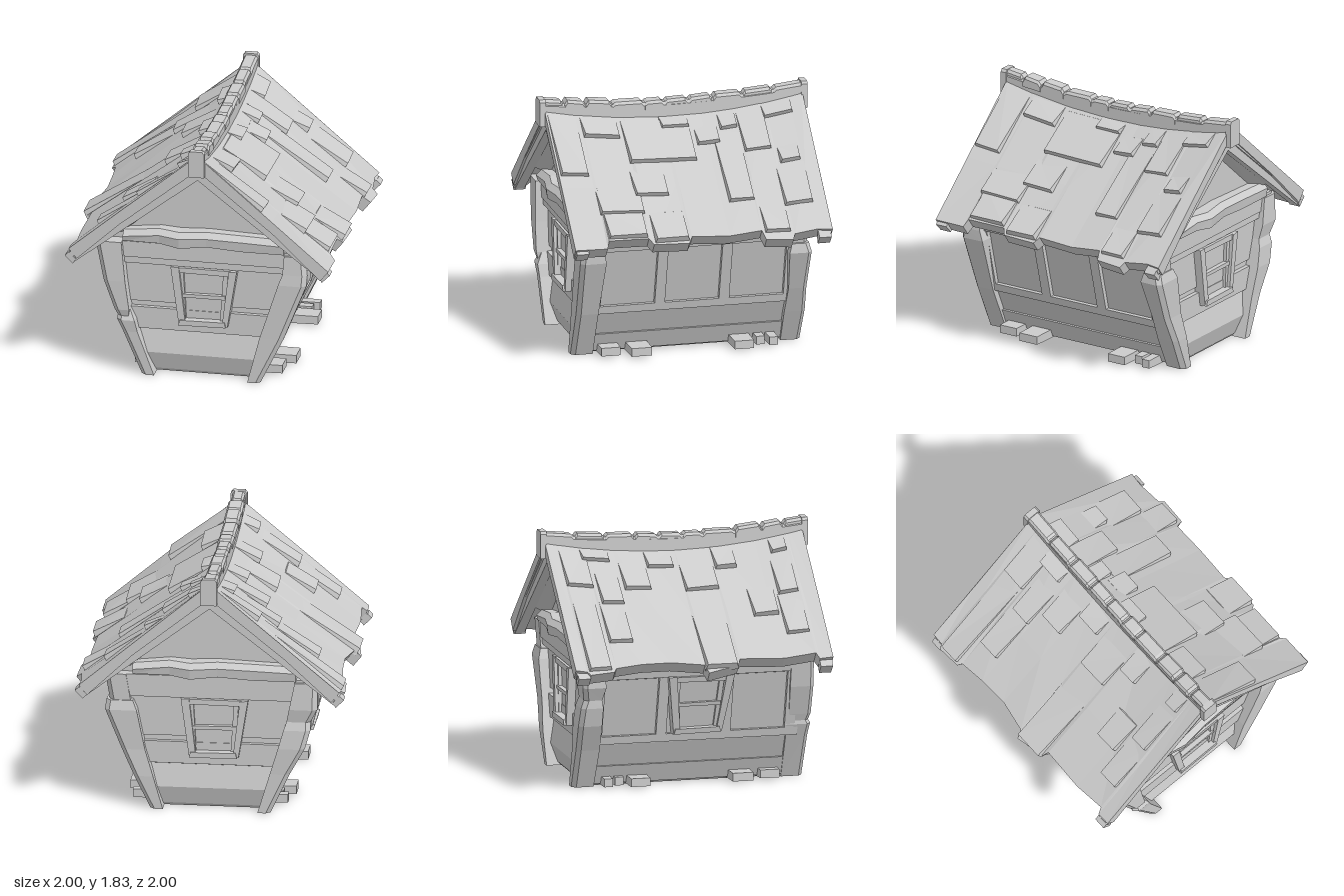
import * as THREE from 'three';

const material = new THREE.MeshStandardMaterial({ color: 0xcccccc, flatShading: true });

// Solid through a row of matching cross-sections, capped at both ends
function loft(sections) {
  const tris = [];
  const n = sections[0].length;
  for (let s = 0; s + 1 < sections.length; s++) {
    const a = sections[s], b = sections[s + 1];
    for (let i = 0; i < n; i++) {
      const j = (i + 1) % n;
      tris.push([a[i], a[j], b[j]], [a[i], b[j], b[i]]);
    }
  }
  const first = sections[0], last = sections[sections.length - 1];
  for (let i = 1; i + 1 < n; i++) {
    tris.push([first[0], first[i + 1], first[i]], [last[0], last[i], last[i + 1]]);
  }
  // turn the faces outward whatever the order of the sections
  let volume = 0;
  for (const [p, q, r] of tris) {
    volume += p[0] * (q[1] * r[2] - q[2] * r[1]) + p[1] * (q[2] * r[0] - q[0] * r[2]) + p[2] * (q[0] * r[1] - q[1] * r[0]);
  }
  if (volume < 0) tris.forEach((t) => t.reverse());
  const geometry = new THREE.BufferGeometry();
  geometry.setAttribute('position', new THREE.Float32BufferAttribute(tris.flat(2), 3));
  geometry.computeVertexNormals();
  return geometry;
}

let seed = 7;
const rand = () => (seed = (seed * 16807) % 2147483647) / 2147483647;
const jitter = (a) => (rand() - 0.5) * a;

// House proportions
const WALL_Z = 0.76;
const wallX = (y) => (y < 0.33 ? 0.4 + y * 0.45 : 0.55 + (y - 0.33) * 0.263);
const roofY = (x, z) => 1.785 - 0.855 * x - 0.115 * (1 - z * z) * (1 - x);
const ridgeY = (z) => 1.8 - 0.06 * (1 - z * z);

// Wall frames: u along the wall, y up, d outward
const walls = {
  front: (u, y, d) => [u, y, WALL_Z + d],
  back: (u, y, d) => [-u, y, -WALL_Z - d],
  right: (u, y, d) => [wallX(y) + d, y, -u],
  left: (u, y, d) => [-wallX(y) - d, y, u],
};

export function createModel() {
  const group = new THREE.Group();
  const add = (name, sections) => {
    const mesh = new THREE.Mesh(loft(sections), material);
    mesh.name = name;
    group.add(mesh);
  };
  // Four-cornered board on a wall; bevel lifts the front of its two lower corners
  const board = (name, wall, quad, d1, d0 = -0.03, bevel = 0) =>
    add(name, [[d0, 0], [d1, bevel]].map(([d, lift]) => quad.map(([u, y], i) => wall(u, i < 2 ? y + lift : y, d))));
  const rect = (u0, u1, y0, y1) => [[u0, y0], [u1, y0], [u1, y1], [u0, y1]];

  // Tapered body and gable
  add('body', [[0, 0.38, 0.74], [0.025, 0.41, 0.765], [0.16, 0.47, 0.81], [0.33, 0.55, 0.77], [0.9, 0.7, 0.76]].map(
    ([y, x, z]) => [[-x, y, -z], [x, y, -z], [x, y, z], [-x, y, z]]));
  add('gableWall', [-WALL_Z, WALL_Z].map((z) =>
    [[-0.7, 0.88, z], [0.7, 0.88, z], [0.72, 1.06, z], [0, 1.64, z], [-0.72, 1.06, z]]));

  // Window with slanted jambs, inner stiles, head, sill and crossbar
  function addWindow(wall) {
    board('windowPanel', wall, [[-0.16, 0.41], [0.18, 0.41], [0.22, 0.84], [-0.18, 0.84]], 0.035);
    board('windowJamb', wall, [[-0.16, 0.41], [-0.11, 0.41], [-0.16, 0.85], [-0.22, 0.85]], 0.085);
    board('windowJamb', wall, [[0.16, 0.42], [0.2, 0.41], [0.27, 0.85], [0.21, 0.84]], 0.085);
    board('windowStile', wall, [[-0.13, 0.43], [-0.11, 0.43], [-0.13, 0.82], [-0.16, 0.82]], 0.06);
    board('windowStile', wall, [[0.14, 0.43], [0.17, 0.43], [0.2, 0.82], [0.165, 0.82]], 0.06);
    board('windowHead', wall, [[-0.2, 0.795], [0.21, 0.79], [0.22, 0.845], [-0.2, 0.845]], 0.075, -0.03, 0.012);
    board('windowCrossbar', wall, [[-0.14, 0.6], [0.18, 0.6], [0.18, 0.645], [-0.14, 0.64]], 0.07, -0.03, 0.015);
    board('windowSill', wall, [[-0.16, 0.395], [0.19, 0.4], [0.18, 0.45], [-0.15, 0.445]], 0.1, -0.03, 0.01);
  }

  // Gable ends
  for (const wall of [walls.front, walls.back]) {
    const span = (y0, y1) => [[-wallX(y0), y0], [wallX(y0), y0], [wallX(y1), y1], [-wallX(y1), y1]];
    board('lowerPlank', wall, span(0.325, 0.505), 0.04, 0, 0.015);
    board('middlePlank', wall, [[-0.58, 0.535], [0.6, 0.54], [0.66, 0.84], [-0.66, 0.84]], 0.025, -0.03, 0.01);
    board('wallBeam', wall, span(0.83, 0.9), 0.06, 0, 0.02);
    board('wallBeam', wall, span(0.9, 1.02), 0.07);
    add('roughBeam', [
      [-0.57, 1.02, 1.11, 0.1], [-0.3, 1.02, 1.14, 0.105], [-0.15, 1.0, 1.13, 0.13],
      [0.05, 1.02, 1.14, 0.11], [0.3, 1.0, 1.13, 0.1], [0.62, 1.0, 1.12, 0.1],
    ].map(([u, y0, y1, d]) => [wall(u, y0, -0.02), wall(u, y0 + 0.015, d), wall(u, y1 - 0.04, d + 0.01), wall(u, y1, d - 0.03), wall(u, y1, -0.02)]));
    addWindow(wall);
    for (const s of [-1, 1]) {
      // Bevelled rafter inside the gable, then the barge boards
      add('gableRafter', [[0, 1.6, 1.565], [0.6, 1.13, 1.06]].map(([x, y0, y1]) =>
        [wall(s * x, y0 + 0.05, 0), wall(s * x, y0 + 0.05, 0.13), wall(s * x, y0, 0.13), wall(s * x, y1, 0)]));
      board('bargeBoard', wall, [[0, 1.7], [0, 1.58], [s * 0.92, 0.865], [s * 0.975, 0.925]], 0.18, 0.11);
      board('bargeTrim', wall, [[0, 1.73], [0, 1.66], [s * 0.93, 0.91], [s * 0.95, 0.945]], 0.195, 0.1);
      board('bargeEnd', wall, [[s * 0.9, 0.9], [s * 0.92, 0.86], [s * 0.98, 0.92], [s * 0.95, 0.95]], 0.19, 0.1);
    }
  }

  // Long sides: timber frame around three panels
  for (const wall of [walls.right, walls.left]) {
    board('sideRail', wall, rect(-0.78, 0.78, 0.325, 0.4), 0.035, -0.03, 0.015);
    board('sideRail', wall, rect(-0.78, 0.78, 0.825, 0.95), 0.045, -0.03, 0.02);
    for (const u of [-0.72, -0.24, 0.24, 0.72]) {
      board('sideStud', wall, rect(u - 0.038, u + 0.038, 0.39, 0.86), 0.035);
    }
    board('baseBoard', wall, rect(-0.75, 0.75, 0.02, 0.16), 0.02);
  }
  addWindow(walls.left);

  // Crooked corner posts: y, inner x, outer x, inner z, outer z
  const post = (name, sx, sz, rows) => add(name, rows.map(([y, x0, x1, z0, z1]) =>
    [[x0, z0], [x1, z0], [x1 + 0.004, z1 - 0.03], [x1 - 0.03, z1], [x0, z1]].map(([x, z]) => [sx * x, y, sz * z])));
  post('frontRightPost', 1, 1, [[0, 0.35, 0.44, 0.7, 0.86], [0.35, 0.44, 0.61, 0.7, 0.86], [0.78, 0.58, 0.78, 0.68, 0.87], [0.86, 0.61, 0.785, 0.7, 0.86], [1, 0.62, 0.77, 0.71, 0.85]]);
  post('backLeftPost', -1, -1, [[0, 0.34, 0.43, 0.7, 0.86], [0.3, 0.43, 0.57, 0.69, 0.86], [0.5, 0.49, 0.68, 0.7, 0.87], [0.64, 0.53, 0.72, 0.7, 0.86], [0.7, 0.55, 0.72, 0.71, 0.84], [0.8, 0.57, 0.77, 0.69, 0.86], [1, 0.61, 0.77, 0.71, 0.85]]);
  post('frontLeftLowerPost', -1, 1, [[0, 0.34, 0.43, 0.7, 0.86], [0.33, 0.46, 0.57, 0.7, 0.87], [0.42, 0.48, 0.61, 0.69, 0.88], [0.52, 0.53, 0.6, 0.71, 0.83]]);
  post('frontLeftUpperPost', -1, 1, [[0.43, 0.53, 0.6, 0.72, 0.86], [0.5, 0.52, 0.63, 0.71, 0.88], [0.72, 0.55, 0.71, 0.7, 0.88], [1.02, 0.58, 0.77, 0.7, 0.87]]);
  post('backRightLowerPost', 1, -1, [[0, 0.35, 0.44, 0.7, 0.85], [0.25, 0.42, 0.56, 0.7, 0.86], [0.45, 0.48, 0.65, 0.71, 0.85], [0.75, 0.54, 0.77, 0.69, 0.86], [0.82, 0.57, 0.76, 0.71, 0.84]]);
  post('backRightUpperPost', 1, -1, [[0.78, 0.58, 0.73, 0.72, 0.83], [1.02, 0.62, 0.77, 0.72, 0.84]]);

  // Foot planks along the base
  for (const s of [-1, 1]) {
    for (const [z0, z1, x] of [[0.52, 0.67, 0.57], [0.3, 0.46, 0.63], [-0.46, -0.31, 0.63], [-0.56, -0.49, 0.55], [-0.65, -0.58, 0.59]]) {
      const end = s > 0 ? x : x - 0.05;
      add('footPlank', [[0.36, 0], [end, 0.004]].map(([px, c]) =>
        [[s * px, 0.01 + c, z0 + c], [s * px, 0.01 + c, z1 - c], [s * px, 0.075, z1 - c], [s * px, 0.075, z0 + c]]));
    }
  }

  // Roof slopes: [z, eave reach] pairs give the ragged eaves
  const eaves = {
    1: [[-0.965, 0.95], [-0.86, 0.94], [-0.68, 0.96], [-0.66, 1], [-0.46, 0.99], [-0.44, 0.93], [-0.2, 0.94], [0.08, 0.93], [0.11, 0.97], [0.37, 0.96], [0.4, 0.92], [0.7, 0.93], [0.72, 0.97], [0.96, 0.97]],
    '-1': [[-0.965, 0.95], [-0.88, 0.95], [-0.86, 0.98], [-0.68, 0.97], [-0.66, 0.94], [-0.46, 0.92], [-0.24, 0.91], [0, 0.95], [0.02, 1], [0.25, 0.96], [0.27, 0.92], [0.6, 0.93], [0.84, 0.91], [0.86, 0.95], [0.96, 0.95]],
  };
  for (const s of [-1, 1]) {
    add('roofSlope', eaves[s].map(([z, xe]) => {
      const yMid = roofY(0.55, z) + jitter(0.02);
      const yEnd = roofY(xe, z) + jitter(0.02);
      return [[0, roofY(0, z), z], [s * 0.55, yMid, z], [s * xe, yEnd, z], [s * (xe - 0.06), yEnd - 0.075, z], [s * 0.55, roofY(0.55, z) - 0.09, z], [0, roofY(0, z) - 0.09, z]];
    }));
  }

  // Wedge shingles, lifted at the lower edge: upper x, lower x, z range
  const shingles = {
    1: [[0.05, 0.17, -0.87, -0.64], [0.35, 0.49, -0.85, -0.69], [0.46, 0.78, -0.87, -0.65], [0.05, 0.38, -0.66, -0.45], [0.05, 0.2, -0.45, -0.31], [0.2, 0.72, -0.45, -0.25], [0.14, 0.29, -0.3, -0.12], [0.05, 0.16, -0.1, 0.12], [0.08, 0.4, -0.1, 0.41], [0.42, 0.64, 0.17, 0.43], [0.05, 0.22, 0.43, 0.71], [0.55, 0.76, 0.38, 0.72], [0.05, 0.49, 0.73, 0.95], [0.7, 0.93, 0.4, 0.7], [0.74, 0.96, -0.66, -0.46], [0.74, 0.97, 0.1, 0.36]],
    '-1': [[0.05, 0.36, -0.88, -0.67], [0.36, 0.97, -0.87, -0.69], [0.2, 0.48, -0.65, -0.47], [0.42, 0.77, -0.67, -0.48], [0.05, 0.16, -0.72, -0.5], [0.12, 0.37, -0.45, -0.24], [0.05, 0.2, -0.24, -0.03], [0.12, 0.39, 0, 0.26], [0.5, 0.99, 0, 0.25], [0.05, 0.24, 0.26, 0.43], [0.4, 0.62, 0.45, 0.65], [0.44, 0.77, 0.66, 0.84], [0.18, 0.48, 0.67, 0.83], [0.05, 0.18, 0.69, 0.82]],
  };
  for (const s of [-1, 1]) {
    for (const [x0, x1, z0, z1] of shingles[s]) {
      const row = (x, h, inset) => [
        [x - 0.03, -0.03, z0], [x - 0.03, -0.03, z1], [x, h + jitter(0.01), z1 - inset], [x, h + jitter(0.01), z0 + inset],
      ].map(([px, dy, z]) => [s * px, roofY(px, z) + dy, z]);
      add('shingle', [row(x0, -0.002, 0.005), row(x1, 0.045, 0.015)]);
    }
  }

  // Ridge beam, end blocks and closely set cap stones
  const ridgeRow = (z, w, y0, y1) => [[-w, y0, z], [w, y0, z], [w, y1 - 0.02, z], [w - 0.015, y1, z], [0.015 - w, y1, z], [-w, y1 - 0.02, z]];
  add('ridgeBeam', [-0.98, -0.7, -0.4, 0, 0.4, 0.7, 0.98].map((z) => ridgeRow(z, 0.05, ridgeY(z) - 0.13, ridgeY(z))));
  for (const s of [-1, 1]) {
    add('ridgeEndBlock', [0.955, 1].map((z) => ridgeRow(s * z, 0.06, 1.625, 1.825)));
  }
  for (const [z0, z1] of [[-0.99, -0.75], [-0.74, -0.52], [-0.51, -0.3], [-0.29, -0.12], [-0.11, 0.06], [0.07, 0.21], [0.22, 0.45], [0.46, 0.65], [0.66, 0.81], [0.82, 0.99]]) {
    const w = 0.052 + jitter(0.016), h = 0.022 + jitter(0.015);
    add('ridgeCap', [[z0, 0], [z0 + 0.02, h], [z1 - 0.02, h + jitter(0.015)], [z1, 0]].map(
      ([z, dy]) => ridgeRow(z, w, ridgeY(z) - 0.05, ridgeY(z) + dy)));
  }

  return group;
}
